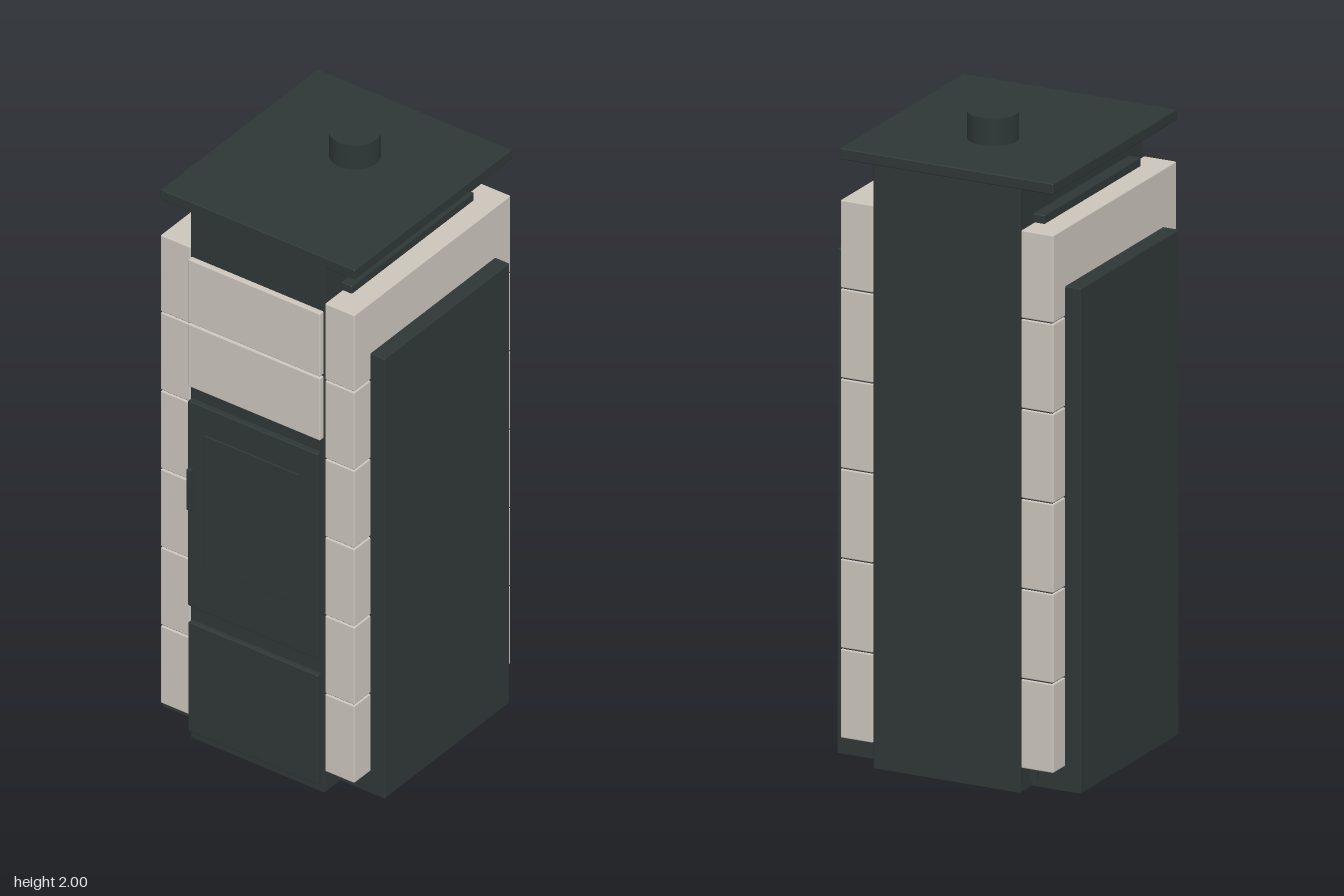
import * as THREE from 'three';
import { RoundedBoxGeometry } from 'three/addons/geometries/RoundedBoxGeometry.js';

const iron = new THREE.MeshStandardMaterial({ color: 0x2e3736 });
iron.name = 'dark iron';
const stone = new THREE.MeshStandardMaterial({ color: 0xcac4bb });
stone.name = 'pale stone';

export function createModel() {
  const stove = new THREE.Group();
  stove.name = 'stove';

  // Box given by its limits on each axis, with softly rounded edges
  function block(name, material, [x0, x1], [y0, y1], [z0, z1], radius = 0.004) {
    const w = x1 - x0, h = y1 - y0, d = z1 - z0;
    const geometry = radius > 0
      ? new RoundedBoxGeometry(w, h, d, 2, radius)
      : new THREE.BoxGeometry(w, h, d);
    const mesh = new THREE.Mesh(geometry, material);
    mesh.name = name;
    mesh.position.set((x0 + x1) / 2, (y0 + y1) / 2, (z0 + z1) / 2);
    stove.add(mesh);
    return mesh;
  }

  // Body, top plate and flue
  block('body', iron, [-0.245, 0.245], [0, 1.885], [-0.409, 0.37]);
  block('topPlate', iron, [-0.356, 0.356], [1.88, 1.915], [-0.412, 0.37]);
  const flue = new THREE.Mesh(new THREE.CylinderGeometry(0.077, 0.077, 0.09, 48), iron);
  flue.name = 'flue';
  flue.position.set(0, 1.955, -0.116);
  stove.add(flue);

  // Both flanks: side panel, plinth, top rail and stacked stones
  for (const side of [-1, 1]) {
    const label = side > 0 ? 'left' : 'right';
    const span = (a, b) => (side > 0 ? [a, b] : [-b, -a]);
    block(label + 'SidePanel', iron, span(0.24, 0.406), [0, 1.573], [-0.333, 0.29]);
    block(label + 'Plinth', iron, span(0.23, 0.268), [0.03, 0.085], [-0.35, 0.31], 0);
    block(label + 'TopRail', iron, span(0.24, 0.282), [1.745, 1.78], [-0.325, 0.283]);
    const joints = [0.078, 0.358, 0.638, 0.918, 1.198, 1.478, 1.755];
    for (let i = 0; i < 6; i++) {
      block(label + 'Stone' + (i + 1), stone, span(0.247, 0.355),
        [joints[i] + 0.002, joints[i + 1] - 0.002], [-0.408, 0.37]);
    }
    // Dark mortar core seen in the joints
    block(label + 'JointCore', iron, span(0.25, 0.348), [0.1, 1.7], [-0.402, 0.363], 0);
  }

  // Front stones above the door
  block('lowerFrontStone', stone, [-0.242, 0.242], [1.268, 1.491], [0.36, 0.388]);
  block('upperFrontStone', stone, [-0.242, 0.242], [1.497, 1.722], [0.36, 0.388]);

  // Door with window and handle, and the drawer below
  block('door', iron, [-0.237, 0.237], [0.49, 1.222], [0.373, 0.395]);
  block('doorMount', iron, [-0.22, 0.22], [0.51, 1.2], [0.36, 0.38], 0);
  block('doorWindow', iron, [-0.172, 0.172], [0.66, 1.125], [0.393, 0.4], 0.002);
  block('doorHandle', iron, [-0.231, -0.216], [0.842, 0.988], [0.39, 0.411]);
  block('drawerFront', iron, [-0.237, 0.237], [0.04, 0.43], [0.373, 0.393]);
  block('drawerMount', iron, [-0.22, 0.22], [0.06, 0.41], [0.36, 0.38], 0);

  return stove;
}
